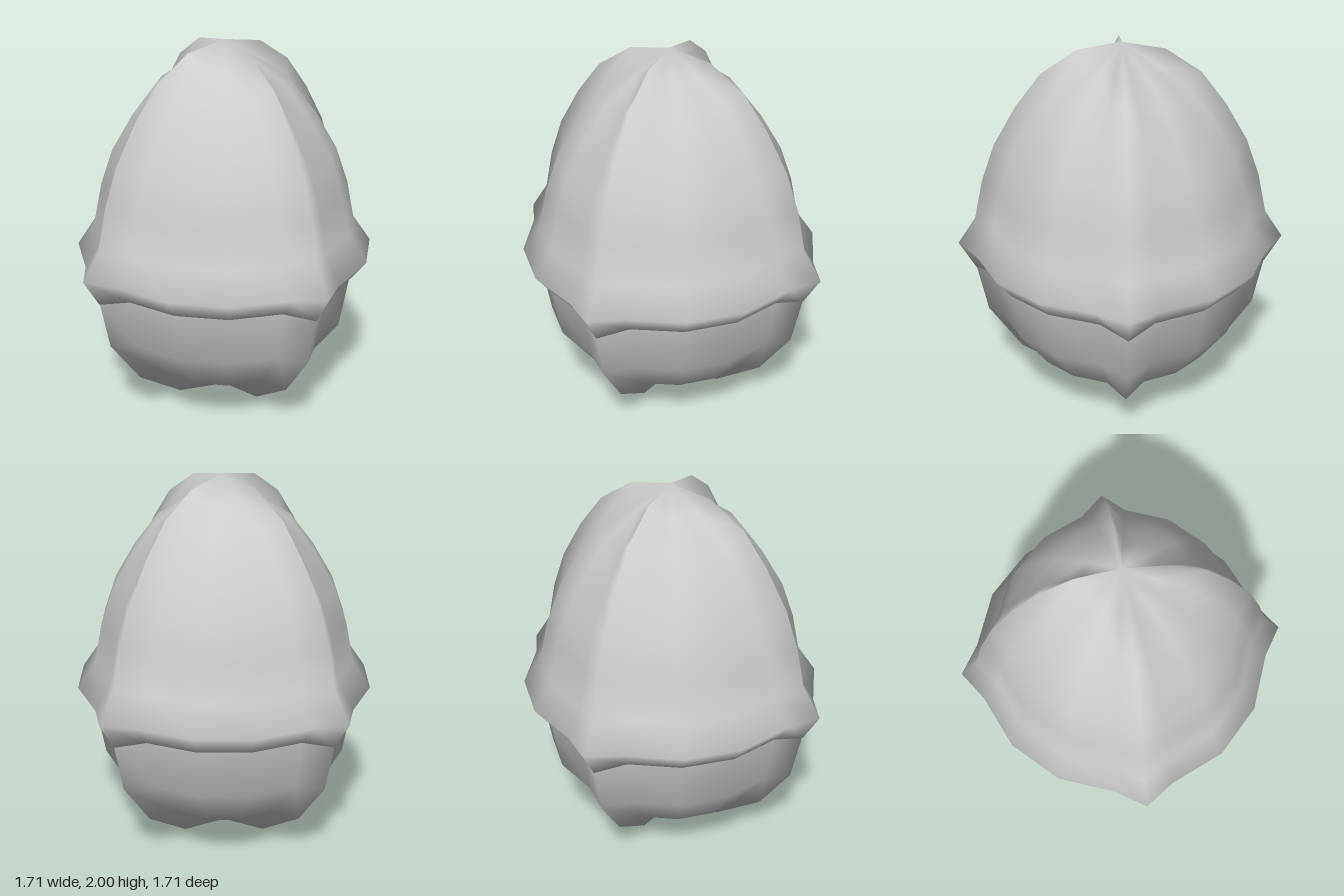
import * as THREE from 'three';
import { mergeVertices } from 'three/addons/utils/BufferGeometryUtils.js';

// Each row: base radius, base height, ridge radius, ridge height
const upperRows = [
  [0, 2, 0, 2],
  [0.18, 1.89, 0.224, 1.96],
  [0.35, 1.77, 0.408, 1.835],
  [0.475, 1.605, 0.54, 1.66],
  [0.585, 1.415, 0.657, 1.455],
  [0.65, 1.225, 0.729, 1.25],
  [0.69, 1.025, 0.775, 1.035],
  [0.785, 0.885, 0.872, 0.885], // belt crest
  [0.70, 0.775, 0.785, 0.735],  // belt lower edge
  [0.64, 0.775, 0.72, 0.745],   // lip turned inward
];
const lowerRows = [
  [0.697, 0.775, 0.782, 0.735],
  [0.65, 0.50, 0.729, 0.475],
  [0.49, 0.285, 0.556, 0.23],
  [0.26, 0.14, 0.30, 0.06],
  [0, 0, 0, 0],
];

// Columns of one quarter turn in degrees; the second is the ridge
const quarter = [0, 11.25, 22.5, 45, 67.5];

function ridgedShell(name, rows) {
  const n = quarter.length * 4;
  const positions = [];
  const index = [];
  rows.forEach(([r, y, ridgeR, ridgeY], i) => {
    for (let j = 0; j < n; j++) {
      const k = j % quarter.length;
      const a = THREE.MathUtils.degToRad(quarter[k] + 90 * Math.floor(j / quarter.length));
      const radius = k === 1 ? ridgeR : r;
      positions.push(radius * Math.cos(a), k === 1 ? ridgeY : y, radius * Math.sin(a));
      if (i < rows.length - 1) {
        const p = i * n + j;
        const q = i * n + (j + 1) % n;
        index.push(p, q, p + n, q, q + n, p + n);
      }
    }
  });
  let geometry = new THREE.BufferGeometry();
  geometry.setAttribute('position', new THREE.Float32BufferAttribute(positions, 3));
  geometry.setIndex(index);
  geometry = mergeVertices(geometry); // joins each pole into one point
  geometry.computeVertexNormals();
  const material = new THREE.MeshStandardMaterial({ color: 0xcccccc, side: THREE.DoubleSide });
  const mesh = new THREE.Mesh(geometry, material);
  mesh.name = name;
  return mesh;
}

export function createModel() {
  const group = new THREE.Group();
  group.name = 'ridgedEgg';
  group.add(ridgedShell('upperShellWithBelt', upperRows));
  group.add(ridgedShell('lowerShell', lowerRows));
  return group;
}
